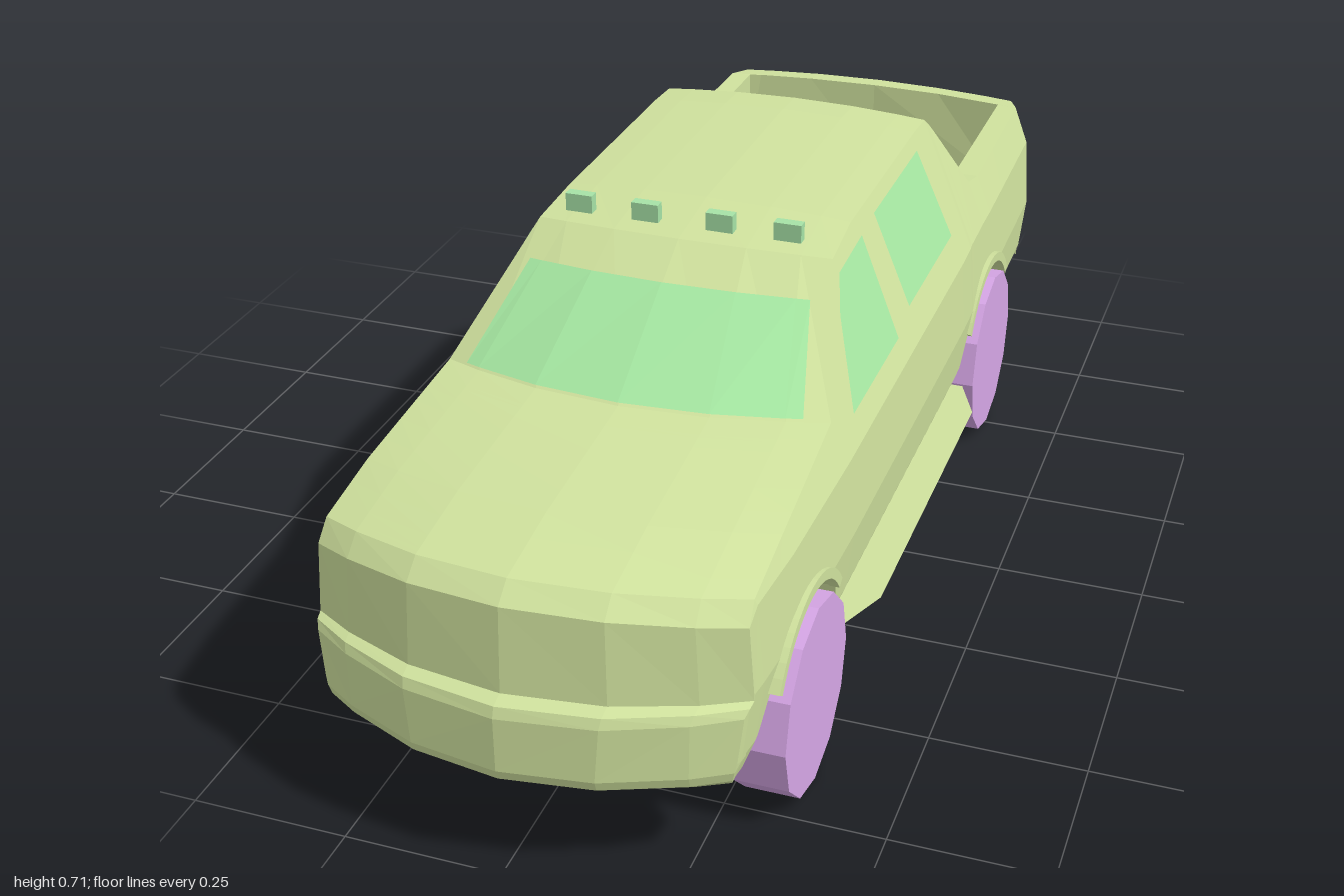
import * as THREE from 'three';

const paint = (color) => new THREE.MeshStandardMaterial({ color, flatShading: true, side: THREE.DoubleSide });
const BODY = paint(0xd0e29e), GLASS = paint(0xa6e8a2), TYRE = paint(0xd6a6e6), LAMP = paint(0xa6e2a6);
const lerp = THREE.MathUtils.lerp;
const FLOOR = 0.155, AXLES = [0.65, -0.51], ARCH_R = 0.175;

// Half width of the side wall at height y
const WALL = [[0.155, 0.322], [0.19, 0.338], [0.3, 0.351], [0.43, 0.342], [0.67, 0.243]];
function wallX(y) {
  let i = 1;
  while (i < WALL.length - 1 && y > WALL[i][0]) i++;
  const [a, b] = [WALL[i - 1], WALL[i]];
  return lerp(a[1], b[1], Math.max(0, (y - a[0]) / (b[0] - a[0])));
}

// Stations, front to back: z at the side, bow of the centre, width factor,
// top edge height, top centre height, open bed (0 or 1), underside height
const STATIONS = [
  [0.88, 0.12, 0.94, 0.275, 0.275, 0, 0.185],
  [0.874, 0.12, 0.95, 0.287, 0.292, 0, 0.168],
  [0.862, 0.11, 0.955, 0.292, 0.299, 0, FLOOR],
  [0.857, 0.105, 0.95, 0.41, 0.435, 0, FLOOR],
  [0.83, 0.1, 0.96, 0.44, 0.462, 0, FLOOR],
  [0.7, 0.09, 0.985, 0.465, 0.485, 0, FLOOR],
  [0.43, 0.085, 1, 0.499, 0.509, 0, FLOOR],
  [0.2, 0.045, 1, 0.66, 0.668, 0, FLOOR],
  [0.1, 0.01, 1, 0.672, 0.684, 0, FLOOR],
  [-0.3, 0, 1, 0.672, 0.684, 0, FLOOR],
  [-0.37, 0, 0.995, 0.668, 0.68, 0, FLOOR],
  [-0.385, 0, 0.99, 0.655, 0.672, 0, FLOOR],
  [-0.4, 0, 0.99, 0.635, 0.635, 1, FLOOR],
  [-0.485, 0, 0.985, 0.51, 0.51, 1, FLOOR],
  [-0.54, 0, 0.985, 0.5, 0.5, 1, FLOOR],
  [-0.9, -0.03, 0.965, 0.5, 0.5, 1, 0.165],
  [-0.902, -0.03, 0.965, 0.5, 0.502, 0, 0.165],
  [-0.945, -0.025, 0.9, 0.495, 0.5, 0, 0.175],
];

// Extra stations follow the wheel arches
function allStations() {
  const rows = STATIONS.slice();
  for (const c of AXLES) for (let k = 0; k <= 10; k++) {
    const z = c + ARCH_R * Math.cos(k * Math.PI / 10);
    const i = STATIONS.findIndex((r) => r[0] <= z);
    const a = STATIONS[i - 1], b = STATIONS[i], t = (a[0] - z) / (a[0] - b[0]);
    rows.push(a.map((v, n) => lerp(v, b[n], t)));
  }
  return rows.sort((a, b) => b[0] - a[0]);
}

const bowed = ([z, bow], x, y) => new THREE.Vector3(x, y, z + bow * (1 - (x / 0.34) ** 2));

// Point on the bonnet, windscreen or roof; f runs from centre 0 to edge 1
function topPoint(row, f) {
  const [, , w, edge, mid] = row;
  return bowed(row, wallX(edge) * w * f, mid - (mid - edge) * f * f);
}

// Closed cross-section, anticlockwise seen from the front
function section(row) {
  const [z, , w, edge, , bed, under] = row;
  let arch = under;
  for (const c of AXLES) {
    const d = ARCH_R ** 2 - (z - c) ** 2;
    if (d > 0) arch = Math.max(arch, FLOOR + Math.sqrt(d));
  }
  // The front wheel bay is open underneath across the full width
  const belly = z > 0 ? Math.min(arch, 0.27) : under;
  const side = (y) => bowed(row, wallX(Math.min(y, edge)) * w, Math.min(y, edge));
  const half = [bowed(row, 0, belly), bowed(row, 0.14, belly), bowed(row, 0.26, belly),
    bowed(row, 0.26, arch), side(arch), side(Math.max(arch, 0.2)), side(Math.max(arch, 0.3)),
    side(Math.max(arch, 0.43)), side(edge)];
  if (bed > 0.5) {
    half.push(bowed(row, Math.min(0.265, wallX(edge) * w - 0.025), edge),
      bowed(row, 0.265, 0.34), bowed(row, 0, 0.34));
  } else half.push(topPoint(row, 0.8), topPoint(row, 0.45), topPoint(row, 0));
  const other = half.slice(1, -1).reverse().map((p) => new THREE.Vector3(-p.x, p.y, p.z));
  return half.concat(other);
}

function fromTriangles(points) {
  return new THREE.BufferGeometry().setFromPoints(points);
}

function bodyGeometry() {
  const rings = allStations().map(section), out = [], n = rings[0].length;
  for (let i = 0; i < rings.length - 1; i++) for (let j = 0; j < n; j++) {
    const k = (j + 1) % n, A = rings[i], B = rings[i + 1];
    out.push(A[j], B[j], B[k], A[j], B[k], A[k]);
  }
  // Nose and tail caps: upright strips joining the lower and upper edges
  for (const [ring, front] of [[rings[0], true], [rings[rings.length - 1], false]]) {
    const at = (m) => ring[(m + n) % n];
    for (let j = -5; j < 5; j++) {
      const a = at(j), b = at(j + 1), c = at(10 - j), d = at(11 - j);
      out.push(...(front ? [a, b, c, a, c, d] : [a, c, b, a, d, c]));
    }
  }
  return fromTriangles(out);
}

// Windscreen lies on the sloping part of the body
function windscreenGeometry() {
  const lo = STATIONS[6], hi = STATIONS[7], out = [];
  const fs = [-0.88, -0.8, -0.45, 0, 0.45, 0.8, 0.88];
  const at = (f, t) => topPoint(lo, f).lerp(topPoint(hi, f), t).add(new THREE.Vector3(0, 0.005, 0.004));
  for (let i = 0; i < fs.length - 1; i++) {
    const a = at(fs[i], 0.01), b = at(fs[i + 1], 0.01), c = at(fs[i + 1], 0.72), d = at(fs[i], 0.72);
    out.push(a, b, c, a, c, d);
  }
  return fromTriangles(out);
}

// Side window from a [z, y] outline, laid on the leaning wall
function sideWindowGeometry(outline, s) {
  const p = outline.map(([z, y]) => new THREE.Vector3(s * (wallX(y) + 0.004), y, z)), out = [];
  for (let i = 1; i < p.length - 1; i++) out.push(p[0], ...(s > 0 ? [p[i], p[i + 1]] : [p[i + 1], p[i]]));
  return fromTriangles(out);
}

// Slab from a plan outline of [x, z] points
function slab(points, y, height) {
  const shape = new THREE.Shape(points.map(([x, z]) => new THREE.Vector2(x, -z)));
  return new THREE.ExtrudeGeometry(shape, { depth: height, bevelEnabled: false }).rotateX(-Math.PI / 2).translate(0, y, 0);
}

// Running board with tapered ends, an undercut lower edge and a thin inner edge
function runningBoardGeometry(s) {
  const plan = [[0.22, 0.48], [0.345, 0.48], [0.385, 0.38], [0.385, -0.25], [0.345, -0.34], [0.22, -0.34]];
  const board = slab(plan.map(([x, z]) => [s * x, z]), 0.13, 0.03), p = board.attributes.position;
  for (let i = 0; i < p.count; i++) if (p.getY(i) < 0.14) {
    if (Math.abs(p.getX(i)) < 0.3) p.setY(i, 0.153);
    p.setX(i, p.getX(i) - s * 0.02);
    p.setZ(i, 0.07 + (p.getZ(i) - 0.07) * 0.92);
  }
  return board;
}

function box(w, h, d, x, y, z) {
  return new THREE.BoxGeometry(w, h, d).translate(x, y, z);
}

// Upright plate from an [x, y] outline, with an optional hole
function plate(outline, hole, depth, z) {
  const shape = new THREE.Shape(outline.map((p) => new THREE.Vector2(...p)));
  if (hole) shape.holes.push(new THREE.Path(hole.map((p) => new THREE.Vector2(...p))));
  return new THREE.ExtrudeGeometry(shape, { depth, bevelEnabled: false }).translate(0, 0, z);
}

export function createModel() {
  const truck = new THREE.Group();
  truck.name = 'pickupTruck';
  const add = (name, geometry, material = BODY) => {
    geometry.computeVertexNormals();
    const mesh = new THREE.Mesh(geometry, material);
    mesh.name = name;
    truck.add(mesh);
  };

  add('body', bodyGeometry());
  add('windscreen', windscreenGeometry(), GLASS);
  add('rearWindow', box(0.4, 0.12, 0.01, 0, 0.577, -0.396), GLASS);

  for (const s of [1, -1]) {
    const side = s > 0 ? 'left' : 'right';
    add(side + 'FrontWindow', sideWindowGeometry([[0.365, 0.475], [0.1, 0.475], [0.09, 0.645], [0.225, 0.64], [0.28, 0.595]], s), GLASS);
    add(side + 'BackWindow', sideWindowGeometry([[0.01, 0.49], [-0.285, 0.49], [-0.27, 0.65], [0.01, 0.65]], s), GLASS);
    add(side + 'RunningBoard', runningBoardGeometry(s));
    // Wheel housing inside the bed
    add(side + 'BedWheelHousing', box(0.045, 0.07, 0.32, s * 0.245, 0.375, -0.56));
    for (const z of AXLES) {
      const end = z > 0 ? 'Front' : 'Rear';
      add(side + end + 'Wheel', new THREE.CylinderGeometry(0.155, 0.155, 0.086, 12)
        .rotateZ(Math.PI / 2).translate(s * 0.318, 0.155, z), TYRE);
      // Arch lip
      const lip = new THREE.Shape();
      lip.absarc(0, 0, 0.19, 0.6, Math.PI - 0.6, false);
      lip.absarc(0, 0, 0.173, Math.PI - 0.6, 0.6, true);
      add(side + end + 'ArchLip', new THREE.ExtrudeGeometry(lip, { depth: 0.024, bevelEnabled: false, curveSegments: 8 })
        .rotateY(Math.PI / 2).translate(s * 0.34 - 0.012, 0.155, z));
    }
  }

  // Rear bumper, bowed in plan, with a plate at its middle
  const bow = [[0.325, -0.9], [0.315, -0.945], [0.275, -0.97], [0.17, -0.988]];
  add('rearBumper', slab([...bow, [0, -0.995], ...bow.slice().reverse().map(([x, z]) => [-x, z])], 0.18, 0.085));
  add('bumperPlate', plate([[-0.08, 0.2], [0.08, 0.2], [0.12, 0.275], [-0.12, 0.275]], null, 0.03, -1));

  // Tailgate frame around a recessed panel
  add('tailgateFrame', plate([[-0.24, 0.29], [0.24, 0.29], [0.24, 0.48], [-0.24, 0.48]],
    [[-0.2, 0.36], [-0.2, 0.445], [0.2, 0.445], [0.2, 0.36]], 0.02, -0.976));

  // Roof lamps
  for (const x of [-0.175, -0.0625, 0.0625, 0.175]) {
    add('roofLamp', box(0.045, 0.03, 0.018, x, 0.697, 0.22), LAMP);
  }
  return truck;
}
